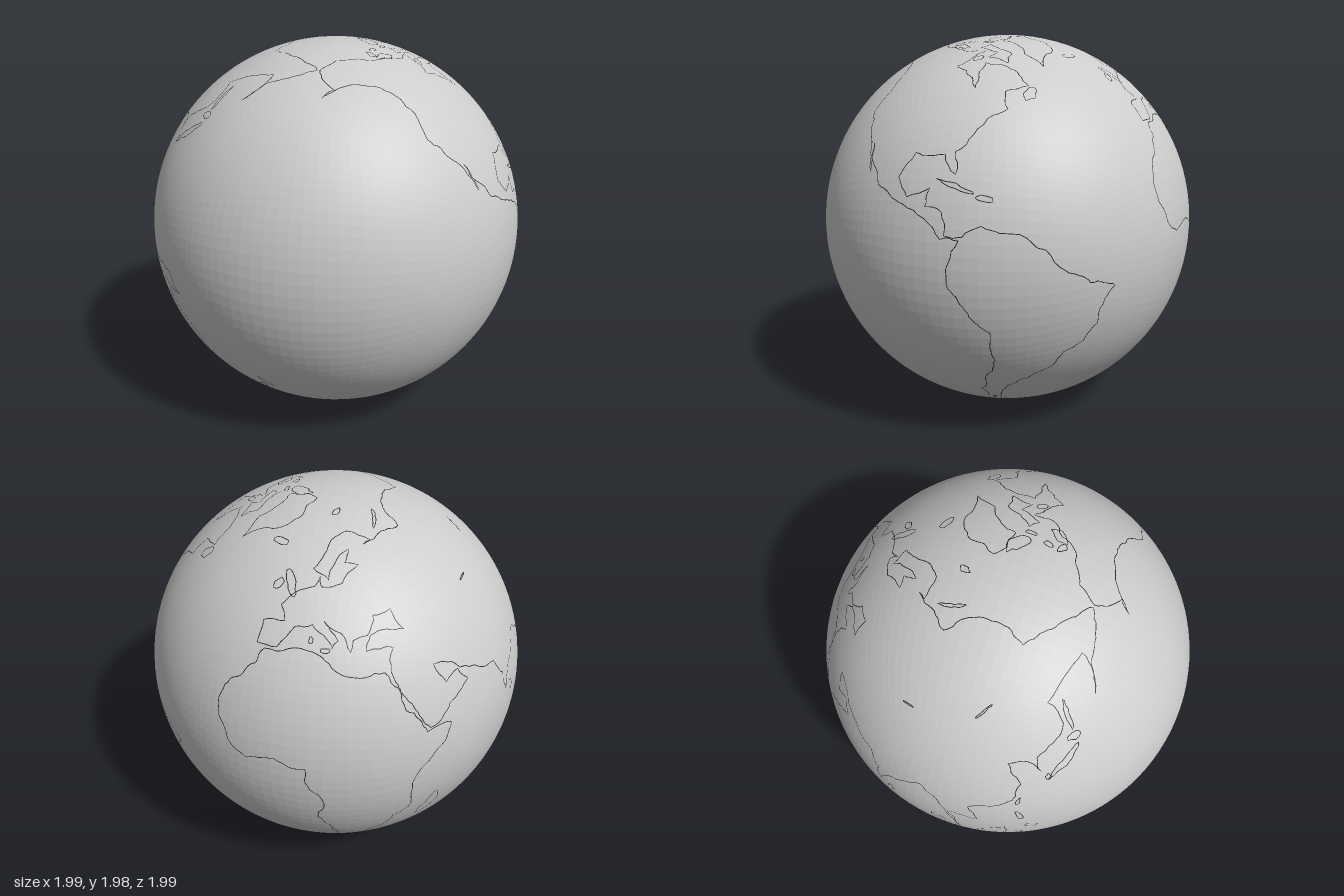
import * as THREE from 'three';

const OCEAN_RADIUS = 0.99, COAST_RADIUS = 0.996, LINE_WIDTH = 0.004;

// Small seeded random numbers from -0.5 to 0.5
let seed = 7;
const wobble = () => {
  seed = (seed * 16807) % 2147483647;
  return seed / 2147483647 - 0.5;
};

// Longitude and latitude in degrees to a unit direction
function direction(lon, lat) {
  const a = THREE.MathUtils.degToRad(lon + 80), b = THREE.MathUtils.degToRad(lat);
  return new THREE.Vector3(Math.cos(b) * Math.cos(a), Math.sin(b), -Math.cos(b) * Math.sin(a));
}

// Splits a stretch of shore again and again, nudging each midpoint sideways
function roughen(p, q, out) {
  const length = p.distanceTo(q);
  if (length < 0.035) {
    out.push(q);
    return;
  }
  const side = p.clone().cross(q).normalize();
  const mid = p.clone().lerp(q, 0.5).addScaledVector(side, wobble() * length * 0.25).normalize();
  roughen(p, mid, out);
  roughen(mid, q, out);
}

// Thin ribbon that follows the sphere along a list of directions
function ribbon(path) {
  const pos = [], index = [];
  path.forEach((p, i) => {
    const along = path[Math.min(i + 1, path.length - 1)].clone().sub(path[Math.max(i - 1, 0)]);
    const side = p.clone().cross(along).normalize().multiplyScalar(LINE_WIDTH / 2);
    const mid = p.clone().multiplyScalar(COAST_RADIUS);
    pos.push(...mid.clone().add(side), ...mid.clone().sub(side));
    if (i > 0) {
      const k = i * 2;
      index.push(k - 1, k + 1, k - 2, k + 1, k, k - 2);
    }
  });
  const g = new THREE.BufferGeometry();
  g.setAttribute('position', new THREE.Float32BufferAttribute(pos, 3));
  g.setIndex(index);
  g.computeVertexNormals();
  return g;
}

export function createModel() {
  seed = 7;
  const globe = new THREE.Group();
  globe.name = 'globe';
  const oceanGrey = new THREE.MeshStandardMaterial({ name: 'pale grey', color: 0xcccccc, flatShading: true });
  const lineGrey = new THREE.MeshStandardMaterial({ name: 'dark line', color: 0x262626, side: THREE.DoubleSide });

  // Ball: a subdivided cube pushed out to a sphere
  const ball = new THREE.BoxGeometry(2, 2, 2, 32, 32, 32);
  const p = ball.attributes.position, v = new THREE.Vector3();
  for (let i = 0; i < p.count; i++) {
    v.fromBufferAttribute(p, i).setLength(OCEAN_RADIUS);
    p.setXYZ(i, v.x, v.y, v.z);
  }
  ball.computeVertexNormals();
  const ballMesh = new THREE.Mesh(ball, oceanGrey);
  ballMesh.name = 'ball';
  globe.add(ballMesh);

  // Closed shore through a few longitude, latitude pairs
  const land = (name, coords) => {
    const corners = [];
    for (let i = 0; i < coords.length; i += 2) corners.push(direction(coords[i], coords[i + 1]));
    const path = [corners[0]];
    corners.forEach((c, i) => roughen(c, corners[(i + 1) % corners.length], path));
    const mesh = new THREE.Mesh(ribbon(path), lineGrey);
    mesh.name = name;
    globe.add(mesh);
  };

  // Oval island: centre, half length, half width and tilt from east, in degrees
  const island = (name, lon, lat, length, width, tilt) => {
    const t = THREE.MathUtils.degToRad(tilt), coords = [];
    for (let i = 0; i < 10; i++) {
      const a = i / 10 * Math.PI * 2, r = 1 + wobble() * 0.5;
      const x = Math.cos(a) * length * r, y = Math.sin(a) * width * r;
      const north = x * Math.sin(t) + y * Math.cos(t);
      const east = x * Math.cos(t) - y * Math.sin(t);
      coords.push(lon + east / Math.cos(THREE.MathUtils.degToRad(lat)), lat + north);
    }
    land(name, coords);
  };

  // Continents
  land('americas', [-78, 8, -83, 8, -88, 13, -95, 16, -105, 20, -113, 31, -110, 23, -117, 33, -124, 40, -124, 48,
    -134, 58, -148, 60, -164, 55, -158, 58, -165, 62, -168, 66, -157, 71, -128, 70, -96, 68, -82, 69, -94, 60, -82, 55,
    -79, 51, -78, 62, -65, 60, -56, 52, -66, 50, -65, 44, -70, 42, -76, 36, -81, 31, -80, 25, -84, 30, -94, 30, -98, 23,
    -94, 18, -87, 21, -88, 16, -83, 15, -82, 9, -77, 9, -72, 12, -62, 10, -50, 0, -35, -6, -39, -17, -48, -26, -57, -36,
    -65, -42, -68, -52, -74, -52, -73, -38, -70, -18, -81, -5]);
  land('africa', [32, 31, 20, 31, 10, 37, -6, 36, -17, 21, -17, 14, -8, 4, 9, 4, 9, -1, 14, -11, 12, -17, 18, -34, 26, -34,
    33, -27, 35, -20, 40, -15, 39, -6, 51, 12, 43, 12, 37, 20]);
  land('eurasia', [34, 31, 36, 37, 27, 37, 29, 41, 41, 41, 38, 47, 31, 46, 28, 41, 23, 40, 22, 37, 19, 42, 13, 45, 18, 40,
    16, 38, 9, 44, 3, 43, -2, 37, -9, 37, -9, 43, -1, 44, -4, 48, 8, 54, 10, 57, 11, 54, 20, 55, 29, 60, 22, 61, 25, 65,
    17, 61, 14, 56, 6, 59, 14, 68, 26, 71, 41, 67, 35, 66, 44, 67, 68, 68, 72, 73, 105, 77, 130, 71, 180, 69, 190, 66,
    179, 63, 163, 58, 157, 51, 163, 62, 136, 55, 140, 48, 128, 40, 129, 35, 125, 39, 118, 39, 122, 31, 117, 23, 106, 19,
    109, 12, 100, 13, 104, 1, 98, 15, 91, 22, 80, 15, 77, 8, 72, 21, 57, 26, 48, 30, 51, 24, 56, 26, 59, 22, 44, 13, 35, 28]);
  land('australia', [114, -22, 115, -34, 131, -31, 139, -36, 147, -39, 153, -28, 145, -15, 142, -11, 140, -18, 136, -12, 130, -12, 122, -18]);
  land('antarctica', [-58, -63, -61, -74, -78, -78, -44, -78, -10, -71, 35, -69, 57, -67, 72, -71, 90, -66, 135, -66,
    170, -71, 165, -78, 205, -78, 225, -74, 260, -73, 292, -72]);
  land('greenland', [-45, 60, -53, 67, -56, 74, -71, 77, -60, 82, -30, 83, -20, 75, -25, 70, -40, 65]);
  land('baffinIsland', [-65, 62, -78, 65, -72, 68, -89, 71, -82, 74, -62, 67]);
  land('newGuinea', [131, -1, 145, -4, 150, -10, 138, -8]);
  land('borneo', [109, 1, 117, 7, 116, -4, 110, -3]);

  // Arctic islands
  island('ellesmereIsland', -78, 80, 4.3, 1.8, 45);
  island('victoriaIsland', -110, 71, 2.6, 1.7, 0);
  island('banksIsland', -121, 73, 1.6, 0.9, 100);
  island('devonIsland', -88, 75.5, 1.8, 0.6, 0);
  island('melvilleIsland', -110, 75.5, 1.4, 0.7, 10);
  island('southamptonIsland', -84, 64.3, 1.5, 1, 40);
  island('svalbard', 18, 78.5, 1.6, 0.9, 60);
  island('novayaZemlya', 58, 74, 4, 0.6, 55);

  // Atlantic and Mediterranean islands
  island('newfoundland', -56, 49, 2.2, 1.6, 60);
  island('iceland', -19, 65, 2.2, 1.2, 0);
  island('greatBritain', -2.5, 54, 4.2, 1.2, 115);
  island('ireland', -8, 53.3, 1.7, 1.2, 60);
  island('cuba', -79.5, 21.7, 5, 0.6, -18);
  island('hispaniola', -71.3, 18.9, 2.6, 0.8, -5);
  island('sicily', 14, 37.5, 1.2, 0.6, 0);
  island('sardinia', 9, 40, 1, 0.5, 90);
  island('tierraDelFuego', -69, -54, 2, 0.8, -30);

  // Indian Ocean and Asian islands, with two long lakes
  island('madagascar', 47, -19, 6.5, 1.9, 73);
  island('sriLanka', 80.8, 7.8, 1.7, 0.9, 100);
  island('sumatra', 101, 0, 8, 1.5, -45);
  island('java', 110, -7.4, 4.5, 0.6, -9);
  island('sulawesi', 121, -2, 3.4, 1, 80);
  island('luzon', 121.3, 16, 2.8, 0.9, 105);
  island('mindanao', 124.5, 8, 1.8, 1.3, 0);
  island('taiwan', 121, 23.7, 1.6, 0.5, 70);
  island('honshu', 137.5, 36.6, 6, 1, 42);
  island('kyushu', 131, 32.5, 1.2, 0.7, 90);
  island('hokkaido', 142.8, 43.4, 1.8, 1.3, 20);
  island('sakhalin', 142.8, 50, 4.2, 0.6, 90);
  island('balkhashLake', 76.5, 46, 1.8, 0.2, 10);
  island('baikalLake', 107.5, 53.5, 2.7, 0.3, 50);

  // Southern Pacific islands
  island('tasmania', 146.5, -42, 1.3, 1.2, 0);
  island('newZealandNorthIsland', 175.7, -38.5, 3, 1, -60);
  island('newZealandSouthIsland', 170.5, -43.7, 3.9, 1, 47);

  globe.position.y = 1;
  const model = new THREE.Group();
  model.add(globe);
  return model;
}
